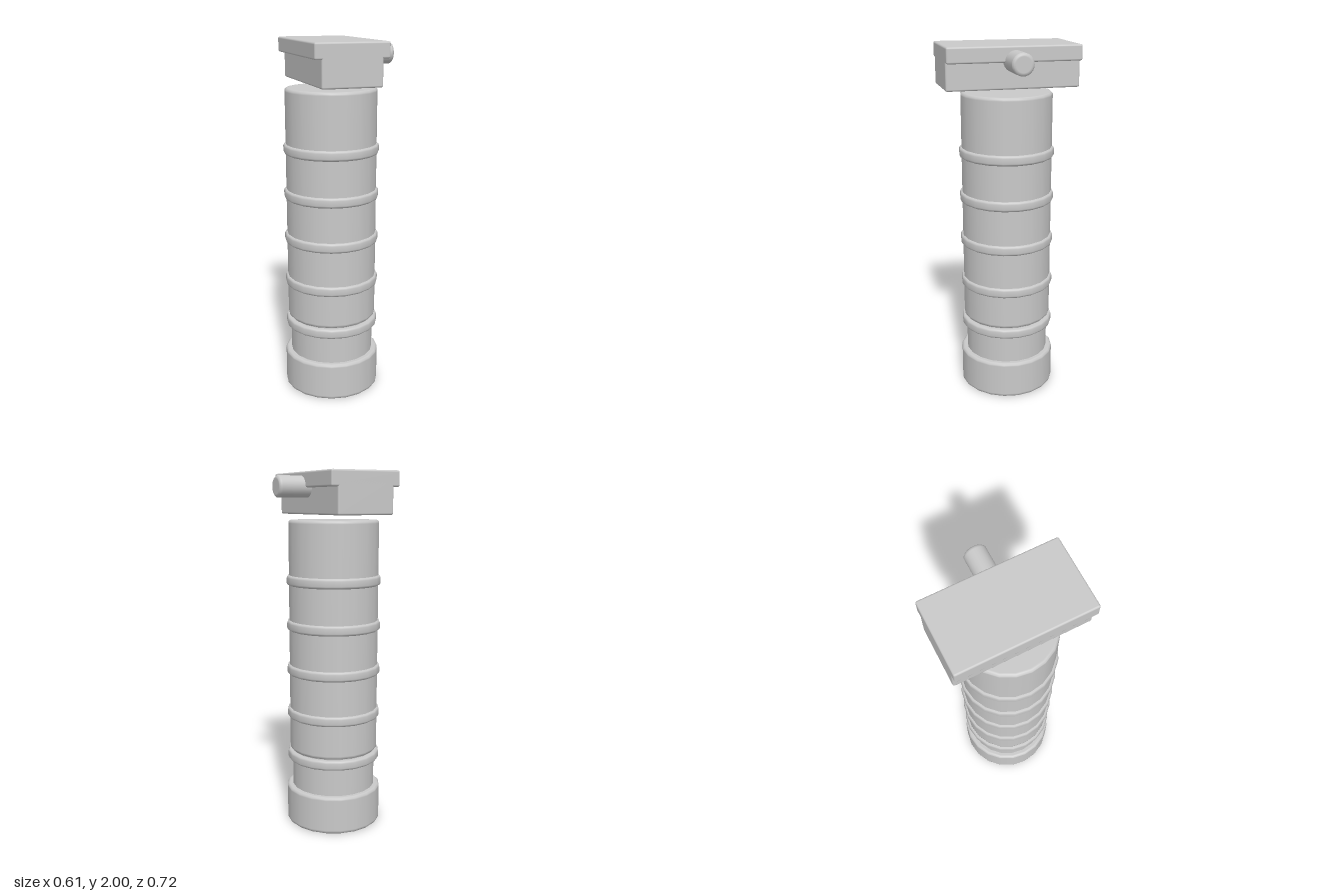
import * as THREE from 'three';
import { RoundedBoxGeometry } from 'three/addons/geometries/RoundedBoxGeometry.js';

const GRIP_X = -0.036;

function lathe(points, sides) {
  return new THREE.LatheGeometry(points.map(([r, y]) => new THREE.Vector2(r, y)), sides);
}

// Solid turned cylinder with soft rims; the extra loops beside each rim keep the large faces flat
function turned(radius, height, c, sides) {
  const rim = [[radius - 2 * c, 0], [radius - c, 0], [radius, c], [radius, 2 * c]];
  const upperRim = rim.slice().reverse().map(([r, y]) => [r, height - y]);
  return lathe([[0, 0], ...rim, ...upperRim, [0, height]], sides);
}

export function createModel() {
  const model = new THREE.Group();
  const grey = new THREE.MeshStandardMaterial({ color: 0xc9c9c9 });
  grey.name = 'light grey';

  function add(name, geometry, x, y) {
    const mesh = new THREE.Mesh(geometry, grey);
    mesh.name = name;
    mesh.position.set(x, y, 0);
    model.add(mesh);
    return mesh;
  }

  // Soft-edged block given by its left/right and bottom/top limits
  function addBlock(name, x0, x1, y0, y1, depth) {
    const block = new RoundedBoxGeometry(x1 - x0, y1 - y0, depth, 2, 0.01);
    add(name, block, (x0 + x1) / 2, (y0 + y1) / 2);
  }

  // Handle: end cap, narrow neck and main barrel
  add('endCap', turned(0.271, 0.215, 0.009, 20), GRIP_X, 0);
  add('neck', turned(0.238, 0.3, 0.008, 20), GRIP_X, 0.18);
  add('barrel', turned(0.252, 1.31, 0.009, 20), GRIP_X, 0.434);

  // Raised finger rings with rounded rims
  const R = 0.265;
  const ring = lathe([
    [0.22, 0], [R - 0.012, 0], [R - 0.004, 0.005], [R, 0.014],
    [R, 0.042], [R - 0.004, 0.051], [R - 0.012, 0.056], [0.22, 0.056],
  ], 20);
  for (let i = 0; i < 5; i++) add('gripRing' + (i + 1), ring, GRIP_X, 0.372 + i * 0.2535);

  // Rail clamp: wide plate on a narrower block
  addBlock('clampPlate', -0.236, 0.161, 1.916, 2, 0.722);
  addBlock('clampBlock', -0.2, 0.124, 1.774, 1.96, 0.722);

  // Tightening knob on the left side
  const knob = add('clampKnob', turned(0.058, 0.207, 0.009, 24), 0.1, 1.921);
  knob.rotation.z = -Math.PI / 2;

  return model;
}
